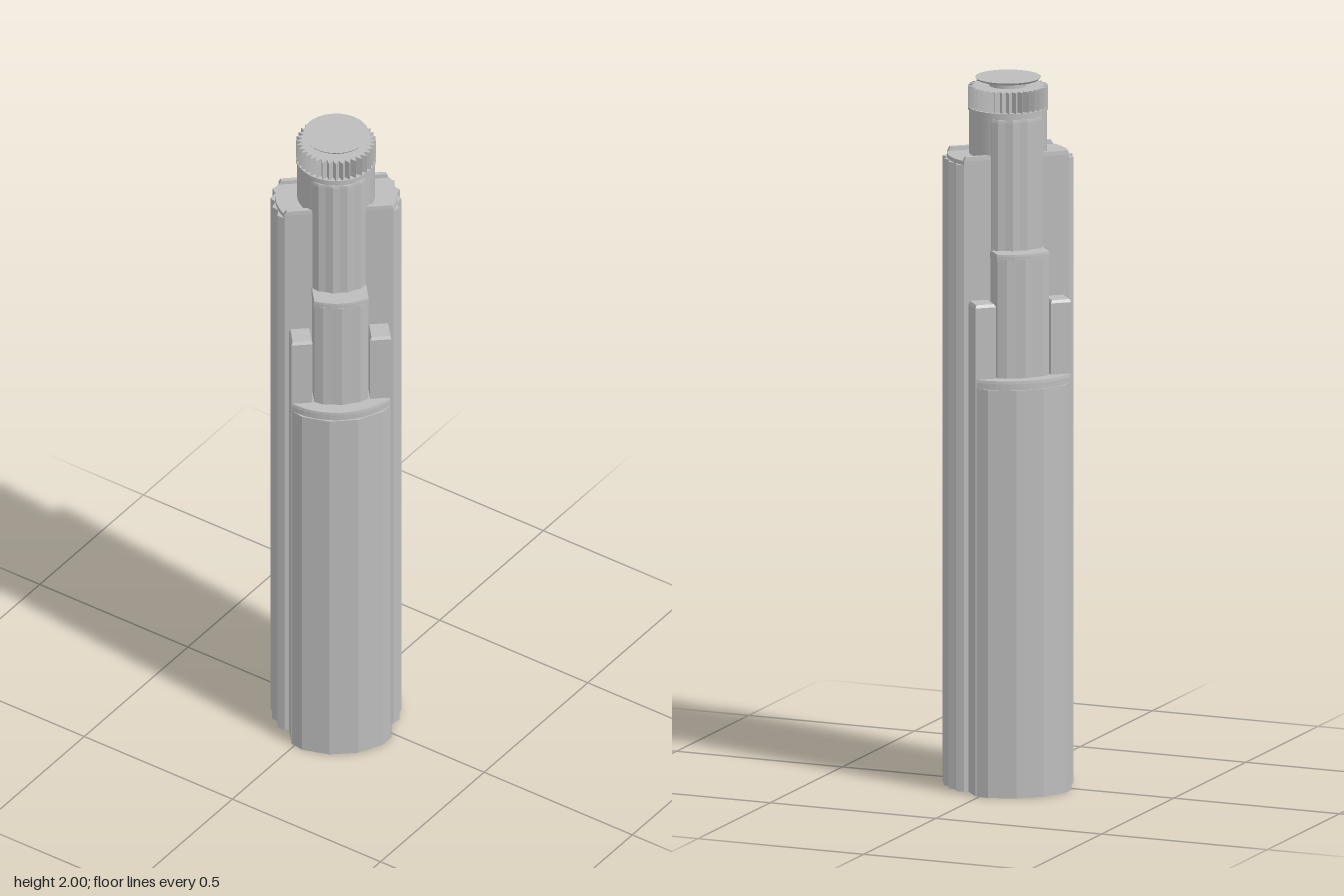
import * as THREE from 'three';

const stone = new THREE.MeshStandardMaterial({ color: 0xbcbcbc });
stone.name = 'grey stone';

// Faceted prism: points are [x, z]; levels are [y, scale about the centroid]
function prism(points, levels) {
  let area = 0;
  points.forEach(([x, z], i) => {
    const [x2, z2] = points[(i + 1) % points.length];
    area += x * z2 - x2 * z;
  });
  const pts = area > 0 ? points.slice().reverse() : points;
  const n = pts.length;
  const cx = pts.reduce((s, p) => s + p[0], 0) / n;
  const cz = pts.reduce((s, p) => s + p[1], 0) / n;
  const at = (i, [y, k]) => [cx + (pts[i % n][0] - cx) * k, y, cz + (pts[i % n][1] - cz) * k];
  const pos = [];
  const tri = (a, b, c) => pos.push(...a, ...b, ...c);
  const low = levels[0], high = levels[levels.length - 1];
  for (let i = 0; i < n; i++) {
    for (let l = 0; l + 1 < levels.length; l++) {
      const a = at(i, levels[l]), b = at(i + 1, levels[l]);
      const c = at(i + 1, levels[l + 1]), d = at(i, levels[l + 1]);
      tri(a, b, c);
      tri(a, c, d);
    }
    tri(at(i, high), at(i + 1, high), [cx, high[0], cz]);
    tri(at(i + 1, low), at(i, low), [cx, low[0], cz]);
  }
  const g = new THREE.BufferGeometry();
  g.setAttribute('position', new THREE.Float32BufferAttribute(pos, 3));
  g.computeVertexNormals();
  return g;
}

// Polar points [degrees, radius] closed back to an inner wall at x = inner
function sector(polar, inner) {
  const pts = polar.map(([deg, r]) => {
    const a = THREE.MathUtils.degToRad(deg);
    return [r * Math.cos(a), r * Math.sin(a)];
  });
  return [[inner, pts[0][1]], ...pts, [inner, pts[pts.length - 1][1]]];
}
const arc = (half, r, n) =>
  Array.from({ length: n + 1 }, (_, i) => [-half + (2 * half * i) / n, r]);
const flutes = (half, rIn, rOut, n) =>
  arc(half, rIn, n).map(([a, r], i) => [a, i % 2 ? rOut : r]);
const rect = (x0, x1, z0, z1) => [[x0, z0], [x1, z0], [x1, z1], [x0, z1]];

function add(parent, name, geometry, y = 0) {
  const mesh = new THREE.Mesh(geometry, stone);
  mesh.name = name;
  mesh.position.y = y;
  parent.add(mesh);
  return mesh;
}

export function createModel() {
  const tower = new THREE.Group();
  tower.name = 'tower';
  const body = new THREE.Group();
  body.name = 'body';
  body.rotation.y = THREE.MathUtils.degToRad(-49);
  tower.add(body);

  for (const side of [0, 1]) {
    // Stepped wing: three setbacks, each with a smooth rim
    const wing = new THREE.Group();
    wing.name = 'steppedWing';
    wing.rotation.y = side * Math.PI;
    body.add(wing);
    const wide = [[-43.5, 0.199], [-33, 0.206], [-11, 0.206], [11, 0.206], [33, 0.206], [43.5, 0.199]];
    add(wing, 'lowerTier', prism(sector(wide, 0), [[0, 1], [1.155, 1]]));
    add(wing, 'lowerRim', prism(sector(arc(43.5, 0.199, 16), 0), [[1.15, 1], [1.172, 1], [1.18, 0.98]]));
    add(wing, 'middleTier', prism(sector(flutes(28, 0.16, 0.163, 6), 0), [[1.1, 1], [1.515, 1]]));
    add(wing, 'middleRim', prism(sector(arc(28.5, 0.161, 10), 0), [[1.51, 1], [1.524, 1], [1.53, 0.98]]));
    add(wing, 'upperTier', prism(sector(flutes(42, 0.11, 0.114, 8), 0), [[1.45, 1], [1.892, 1], [1.9, 0.97]]));

    // Corner pylons with chamfered tops
    for (const s of [-1, 1]) {
      add(wing, 'cornerPylon', prism(rect(0.07, 0.143, s * 0.08, s * 0.139),
        [[0, 1], [1.382, 1], [1.39, 0.86]]));
    }

    // Tall fluted wing between the pylons, with raised end walls
    const tall = new THREE.Group();
    tall.name = 'tallWing';
    tall.rotation.y = Math.PI / 2 + side * Math.PI;
    body.add(tall);
    add(tall, 'flutedShaft', prism(sector(flutes(27, 0.169, 0.181, 8), 0), [[0, 1], [1.775, 1]]));
    add(tall, 'shaftRim', prism(sector(arc(27, 0.169, 10), 0), [[1.765, 1], [1.78, 1], [1.786, 0.98]]));
    for (const s of [-1, 1]) {
      add(tall, 'endWall', prism(rect(0.07, 0.152, s * 0.064, s * 0.0785),
        [[0, 1], [1.785, 1], [1.797, 0.85]]));
    }
  }

  // Round core
  add(tower, 'core', new THREE.CylinderGeometry(0.108, 0.108, 1.91, 48), 0.955);

  // Toothed crown
  const teeth = 36;
  const crown = Array.from({ length: teeth * 2 }, (_, i) => {
    const a = (i * Math.PI) / teeth, r = i % 2 ? 0.111 : 0.094;
    return [r * Math.cos(a), r * Math.sin(a)];
  });
  add(tower, 'toothedCrown', prism(crown, [[1.915, 1], [1.976, 1]]));
  add(tower, 'crownLedge', new THREE.CylinderGeometry(0.111, 0.111, 0.008, 48), 1.914);

  // Neck and flat roof disc
  add(tower, 'neck', new THREE.CylinderGeometry(0.052, 0.052, 0.03, 32), 1.982);
  add(tower, 'roofDisc', new THREE.CylinderGeometry(0.091, 0.086, 0.006, 40), 1.997);

  return tower;
}
